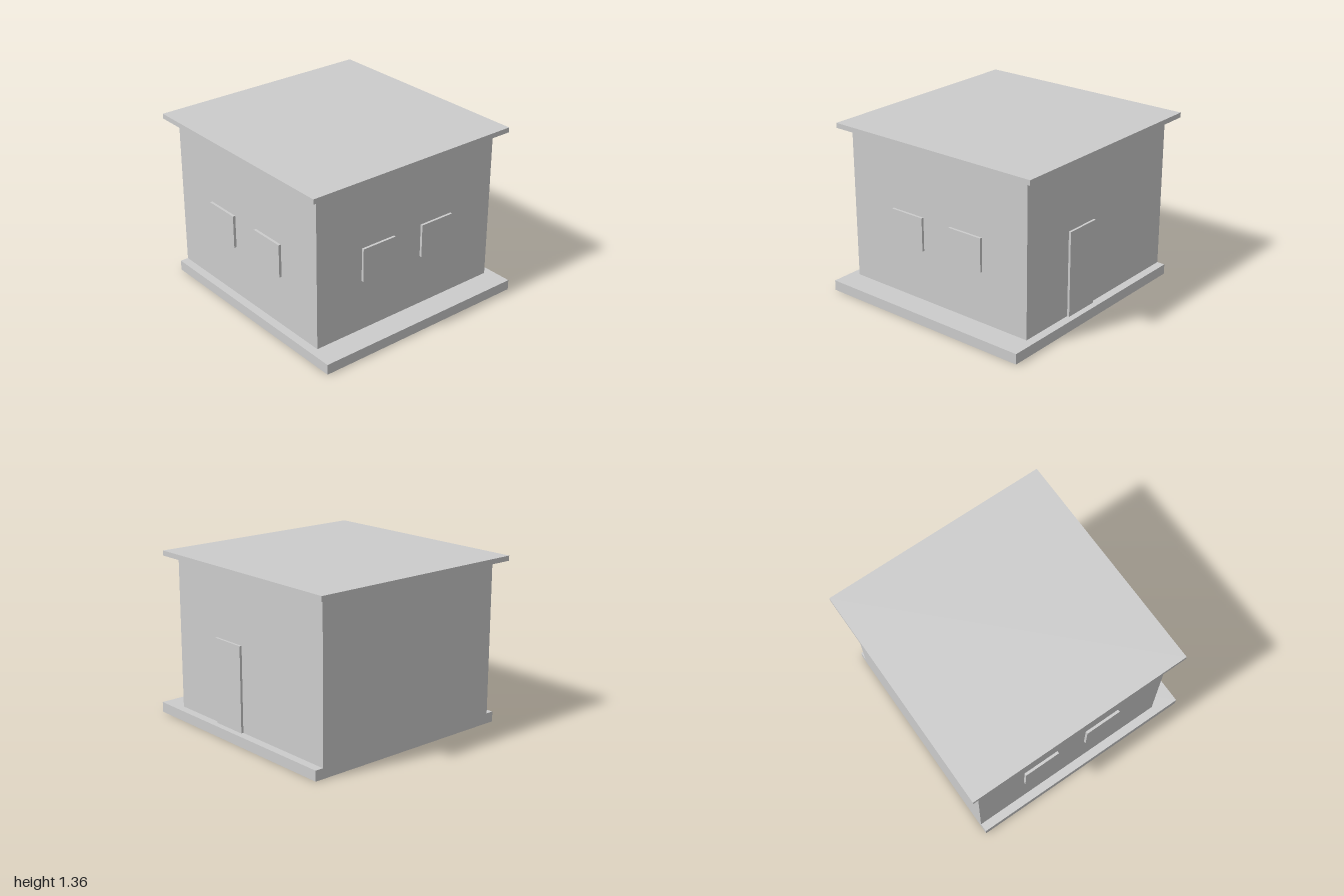
import * as THREE from 'three';

export function createModel() {
  const house = new THREE.Group();
  house.name = 'house';
  const plaster = new THREE.MeshStandardMaterial({ color: 0xcccccc });
  plaster.name = 'light grey';

  // Box given by its lower and upper limits on each axis
  function block(name, [x0, x1], [y0, y1], [z0, z1]) {
    const mesh = new THREE.Mesh(new THREE.BoxGeometry(x1 - x0, y1 - y0, z1 - z0), plaster);
    mesh.position.set((x0 + x1) / 2, (y0 + y1) / 2, (z0 + z1) / 2);
    mesh.name = name;
    house.add(mesh);
  }

  // Plinth with a front step, walls and overhanging flat roof
  block('plinth', [-0.922, 0.922], [0, 0.083], [-0.91, 1]);
  block('walls', [-0.854, 0.854], [0.083, 1.32], [-0.91, 0.798]);
  block('roof', [-0.94, 0.94], [1.32, 1.36], [-1, 0.88]);

  // Door on the left side
  block('door', [0.854, 0.873], [0.083, 0.77], [0.01, 0.315]);

  // Paired windows on the front and the right side
  const height = [0.5, 0.77], half = 0.153, midZ = -0.056;
  for (const c of [-0.286, 0.286]) {
    block('frontWindow', [c - half, c + half], height, [0.798, 0.818]);
    block('sideWindow', [-0.875, -0.854], height, [midZ + c - half, midZ + c + half]);
  }
  return house;
}
